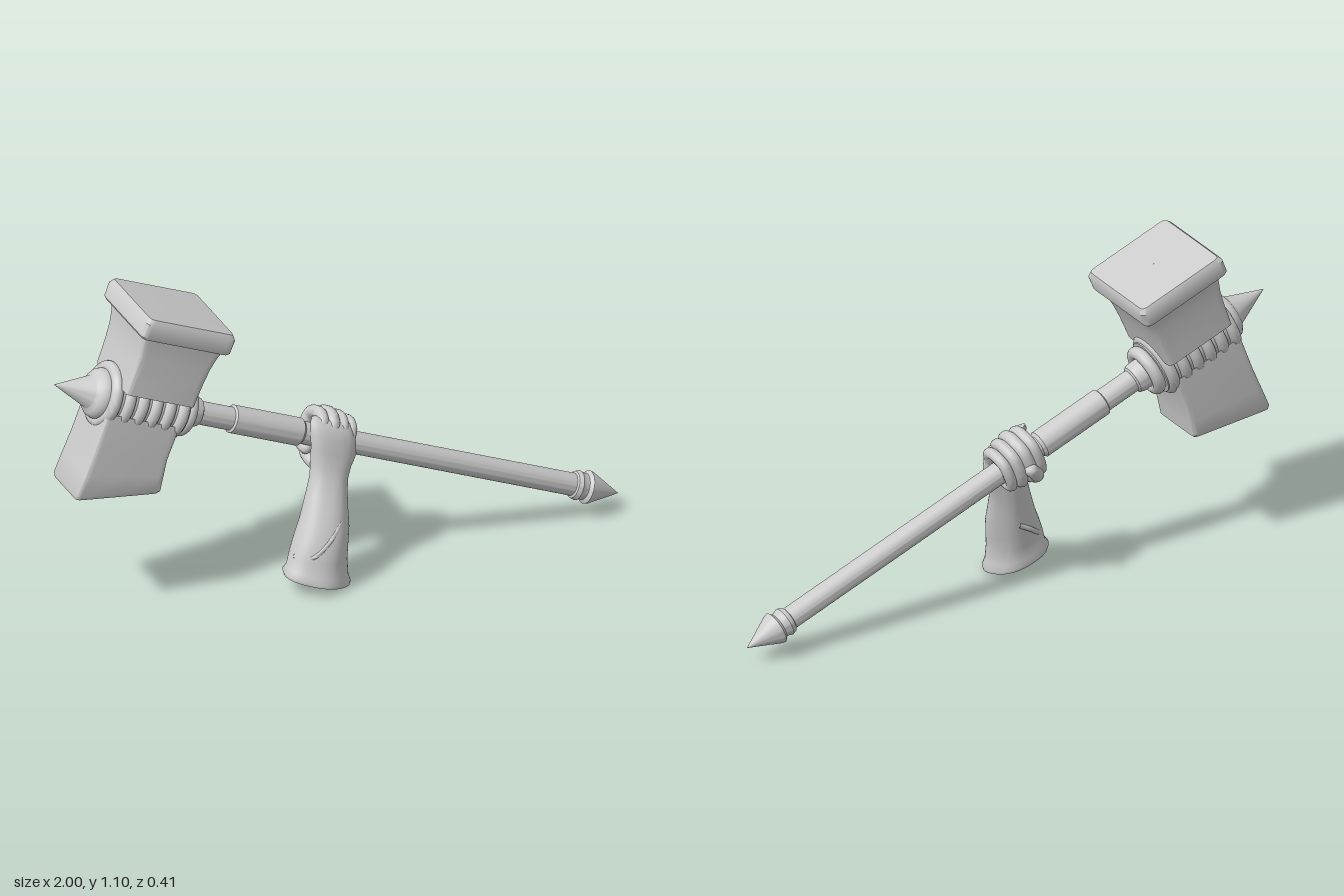
import * as THREE from 'three';
import { toCreasedNormals } from 'three/addons/utils/BufferGeometryUtils.js';

const V = (x, y, z) => new THREE.Vector3(x, y, z);
const material = new THREE.MeshStandardMaterial({ color: 0xcccccc, side: THREE.DoubleSide });

function add(parent, name, geometry, crease = 0.6) {
  const mesh = new THREE.Mesh(toCreasedNormals(geometry, crease), material);
  mesh.name = name;
  parent.add(mesh);
  return mesh;
}

// Skin stacked cross-sections [cx, y, cz, rx, rz, slope]; e < 1 squares the outline.
function loft(sections, e = 1, ripple = 0, n = 48) {
  const pos = [], index = [];
  const bend = (s) => Math.sign(s) * Math.pow(Math.abs(s), e);
  sections.forEach(([cx, y, cz, rx, rz, slope = 0], i) => {
    for (let j = 0; j < n; j++) {
      const t = (j / n) * Math.PI * 2;
      const k = 1 + ripple * Math.sin(3 * t + i * 0.5) * Math.cos(2 * t - i * 0.3);
      const dx = rx * k * bend(Math.cos(t));
      pos.push(cx + dx, y + slope * dx, cz + rz * k * bend(Math.sin(t)));
      if (i === 0) continue;
      const a = (i - 1) * n + j, b = (i - 1) * n + (j + 1) % n;
      index.push(a, a + n, b, b, a + n, b + n);
    }
  });
  const g = new THREE.BufferGeometry();
  g.setAttribute('position', new THREE.Float32BufferAttribute(pos, 3));
  g.setIndex(index);
  return g;
}

// Turned part along the handle; points are [distance along, radius].
function turned(points) {
  const g = new THREE.LatheGeometry(points.map(([u, r]) => new THREE.Vector2(r, u)), 40);
  return g.rotateZ(-Math.PI / 2);
}

// Rounded digit swept along a path.
function digit(parent, name, points, r) {
  const group = new THREE.Group();
  group.name = name;
  const curve = new THREE.CatmullRomCurve3(points, false, 'catmullrom', 0.4);
  add(group, name + 'Body', new THREE.TubeGeometry(curve, 32, r, 14), 1.2);
  for (const p of [points[0], points[points.length - 1]])
    add(group, name + 'End', new THREE.SphereGeometry(r, 14, 10).translate(p.x, p.y, p.z), 1.2);
  parent.add(group);
}

export function createModel() {
  const model = new THREE.Group();
  model.name = 'handHoldingWarHammer';

  // Hammer: local x runs from the spike to the pommel, local y towards the big face
  const hammer = new THREE.Group();
  hammer.name = 'hammer';
  hammer.position.set(-1, 0.84, -0.032);
  hammer.rotation.z = -Math.atan2(0.78, 2);
  model.add(hammer);

  // Shaft with thicker sleeve
  add(hammer, 'shaft', turned([[0.4, 0], [0.4, 0.052], [0.53, 0.052], [0.545, 0.047], [0.55, 0.039],
    [0.67, 0.039], [0.675, 0.047], [0.93, 0.047], [0.94, 0.038], [2.0, 0.038], [2.0, 0]]));
  add(hammer, 'pommel', turned([[1.97, 0.036], [1.975, 0.045], [1.99, 0.05], [2.005, 0.044], [2.015, 0.044],
    [2.025, 0.056], [2.035, 0.054], [2.147, 0]]));

  // Spike with its flared seat
  add(hammer, 'spike', turned([[0, 0], [0.13, 0.054], [0.135, 0.058], [0.14, 0.07], [0.15, 0.08],
    [0.165, 0.085], [0.18, 0.085], [0.18, 0]]));

  // Banded core and round collar
  add(hammer, 'core', turned([[0.17, 0], [0.17, 0.095], [0.47, 0.095], [0.47, 0]]));
  for (let i = 0; i < 6; i++)
    add(hammer, 'band', new THREE.TorusGeometry(0.092, 0.021, 12, 40)
      .rotateY(Math.PI / 2).translate(0.19 + i * 0.051, 0, 0), 1.2);
  add(hammer, 'collar', new THREE.TorusGeometry(0.068, 0.022, 14, 40)
    .rotateY(Math.PI / 2).translate(0.487, 0, 0), 1.2);

  // Upper block, waisted, and its wide striking cap
  add(hammer, 'upperBlock', loft([
    [0.325, 0.06, 0, 0.001, 0.001], [0.325, 0.06, 0, 0.13, 0.135], [0.325, 0.1, 0, 0.131, 0.135],
    [0.325, 0.15, 0, 0.133, 0.136], [0.325, 0.2, 0, 0.137, 0.138], [0.325, 0.24, 0, 0.144, 0.141],
    [0.325, 0.29, 0, 0.157, 0.15]], 0.1));
  add(hammer, 'strikingCap', loft([
    [0.322, 0.272, 0, 0.001, 0.001], [0.322, 0.272, 0, 0.162, 0.168], [0.322, 0.28, 0, 0.169, 0.173],
    [0.322, 0.328, 0, 0.169, 0.175], [0.322, 0.345, 0, 0.158, 0.166], [0.322, 0.348, 0, 0.001, 0.001]], 0.09));

  // Lower block with a slanted end
  add(hammer, 'lowerBlock', loft([
    [0.318, -0.307, 0, 0.001, 0.001], [0.318, -0.307, 0, 0.14, 0.1, 0.28], [0.318, -0.295, 0, 0.146, 0.106, 0.26],
    [0.315, -0.23, 0, 0.141, 0.106, 0.17], [0.312, -0.16, 0, 0.136, 0.104, 0.08],
    [0.312, -0.06, 0, 0.138, 0.102], [0.312, -0.03, 0, 0.138, 0.1]], 0.1));

  // Sleeved forearm, hollow at the hem, running up into the back of the hand
  add(model, 'forearm', loft([
    [-0.12, 0.1, 0.11, 0.001, 0.001], [-0.12, 0.1, 0.11, 0.08, 0.065, -0.26],
    [-0.131, 0.034, 0.115, 0.1, 0.077, -0.26], [-0.131, 0.032, 0.115, 0.112, 0.088, -0.26],
    [-0.13, 0.044, 0.114, 0.115, 0.09, -0.26], [-0.125, 0.06, 0.112, 0.105, 0.083, -0.25],
    [-0.118, 0.11, 0.105, 0.097, 0.082, -0.22], [-0.105, 0.16, 0.095, 0.091, 0.081, -0.2],
    [-0.09, 0.21, 0.083, 0.084, 0.075, -0.2], [-0.08, 0.26, 0.07, 0.076, 0.066, -0.2],
    [-0.068, 0.31, 0.055, 0.069, 0.056, -0.2], [-0.056, 0.355, 0.042, 0.065, 0.048, -0.2],
    [-0.045, 0.395, 0.034, 0.07, 0.042, -0.25], [-0.033, 0.44, 0.032, 0.079, 0.036, -0.3],
    [-0.032, 0.49, 0.028, 0.079, 0.034, -0.38], [-0.034, 0.525, 0.018, 0.075, 0.03, -0.39],
    [-0.034, 0.545, 0.008, 0.066, 0.018, -0.39], [-0.034, 0.55, 0.004, 0.001, 0.001]], 1, 0.035), 1.1);

  // Raised cloth folds across the sleeve
  const folds = [
    [V(-0.21, 0.13, 0.12), V(-0.165, 0.135, 0.165), V(-0.11, 0.175, 0.165), V(-0.06, 0.225, 0.14), V(-0.03, 0.25, 0.1)],
    [V(-0.215, 0.1, 0.1), V(-0.18, 0.13, 0.05), V(-0.13, 0.17, 0.018), V(-0.08, 0.2, 0.012)]];
  for (const path of folds)
    add(model, 'sleeveFold', new THREE.TubeGeometry(new THREE.CatmullRomCurve3(path), 24, 0.009, 8), 1.2);

  // Fingers wrapped over the shaft
  const hand = new THREE.Group();
  hand.name = 'hand';
  hammer.add(hand);
  const wrap = [[0.02, 0.06], [0.065, 0.045], [0.08, 0.005], [0.058, -0.052], [0, -0.062], [-0.048, -0.045], [-0.05, 0]];
  for (let i = 0; i < 4; i++) {
    const u = 0.978 + i * 0.038, s = [1, 1.06, 1, 0.9][i];
    digit(hand, 'finger', wrap.map(([v, z]) => V(u, v * s, z * s)), 0.021 * s);
  }

  // Thumb passing under the shaft and up over the fingertips
  digit(model, 'thumb', [V(-0.07, 0.38, 0.035), V(-0.095, 0.4, -0.01), V(-0.095, 0.41, -0.06),
    V(-0.08, 0.435, -0.1), V(-0.05, 0.465, -0.113)], 0.023);

  return model;
}
